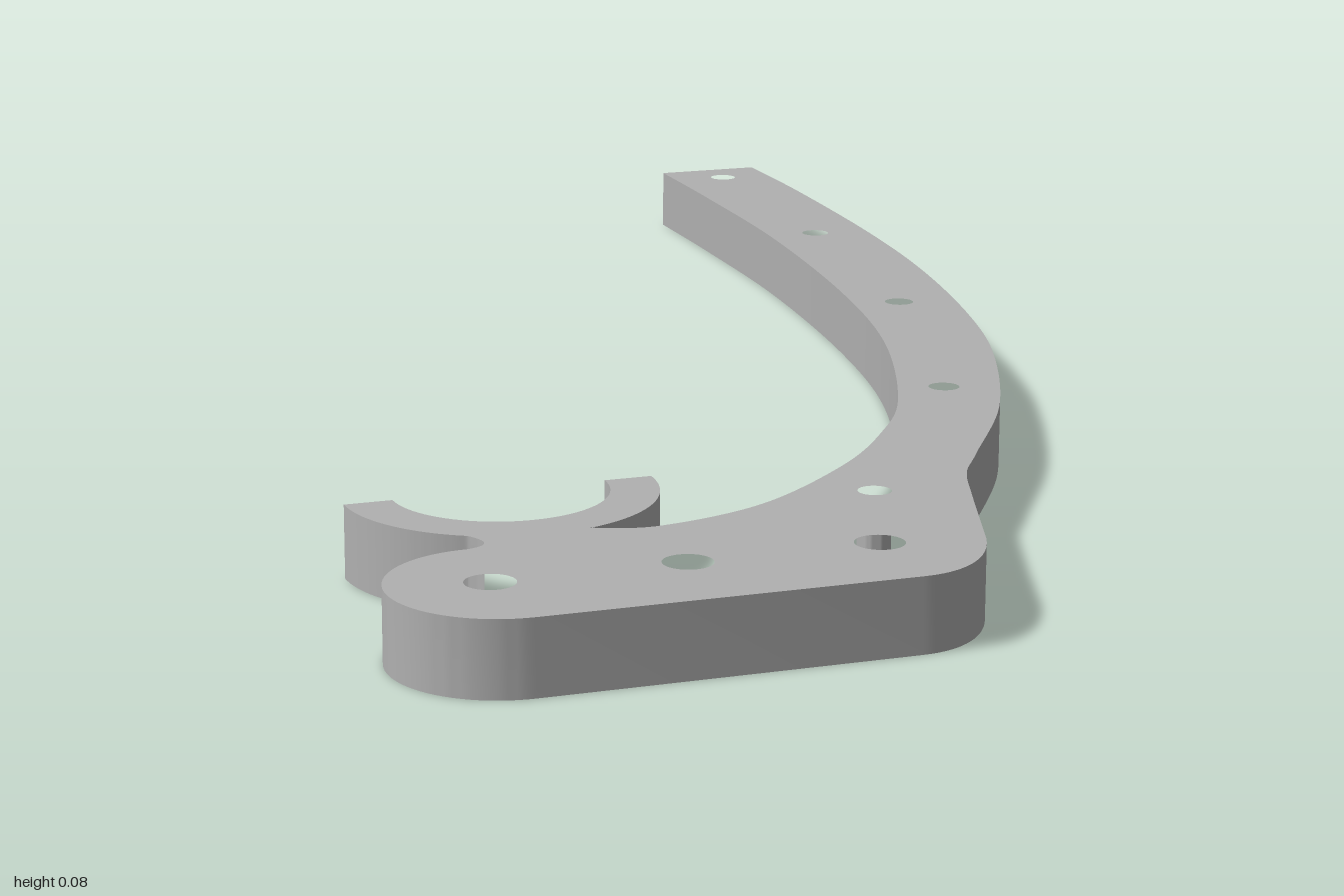
import * as THREE from 'three';
import { toCreasedNormals } from 'three/addons/utils/BufferGeometryUtils.js';

const THICKNESS = 0.08;
const points = (list) => list.map(([x, z]) => new THREE.Vector2(x, -z));

// Plan outline, drawn with shape y = -z
function bracketShape() {
  const s = new THREE.Shape();
  s.moveTo(0.397, 1);
  s.lineTo(0.54, 1);

  // Outer edge of the curved arm, flowing into the foot
  s.splineThru(points([
    [0.539, -0.8], [0.525, -0.5], [0.499, -0.25], [0.453, 0], [0.397, 0.2],
    [0.30, 0.43], [0.19, 0.61], [0.15, 0.675], [0.12, 0.755], [0.072, 0.895],
  ]));

  // Foot: rounded corner, straight front, round end
  s.bezierCurveTo(0.05, -0.96, 0.01, -1, -0.04, -1);
  s.lineTo(-0.433, -1);
  s.absarc(-0.433, -0.886, 0.114, -Math.PI / 2, Math.PI / 2, true);

  // Neck fillet and open clip ring
  const cx = -0.341, cy = -0.58, outer = 0.168, inner = 0.116;
  s.quadraticCurveTo(-0.395, -0.765, -0.42, -0.728);
  s.absarc(cx, cy, outer, -2.05, -Math.PI, true);
  s.absarc(cx, cy, inner, Math.PI, 2 * Math.PI, false);
  s.absarc(cx, cy, outer, 0, -1.287, true);

  // Inner edge of the arm
  s.splineThru(points([
    [-0.225, 0.757], [-0.10, 0.717], [0.03, 0.612], [0.12, 0.505], [0.2, 0.37],
    [0.293, 0.11], [0.347, -0.16], [0.384, -0.5], [0.395, -0.8], [0.397, -1],
  ]));

  // Screw holes: small along the arm, large in the foot
  const addHole = (x, z, r) => {
    const hole = new THREE.Path();
    hole.absarc(x, -z, r, 0, Math.PI * 2, true);
    s.holes.push(hole);
  };
  for (const [x, z] of [[0.471, -0.94], [0.453, -0.52], [0.397, -0.09], [0.275, 0.33], [0.03, 0.708]]) {
    addHole(x, z, 0.018);
  }
  for (const x of [-0.442, -0.24, -0.037]) addHole(x, 0.882, 0.026);
  return s;
}

export function createModel() {
  const model = new THREE.Group();
  model.name = 'curvedBracket';
  const grey = new THREE.MeshStandardMaterial({ color: 0xb0b0b0 });
  grey.name = 'grey';

  // One flat plate laid down on y = 0
  const geometry = new THREE.ExtrudeGeometry(bracketShape(), {
    depth: THICKNESS, bevelEnabled: false, curveSegments: 20,
  });
  geometry.rotateX(-Math.PI / 2);
  const plate = new THREE.Mesh(toCreasedNormals(geometry, Math.PI / 6), grey);
  plate.name = 'bracketPlate';
  model.add(plate);
  return model;
}
